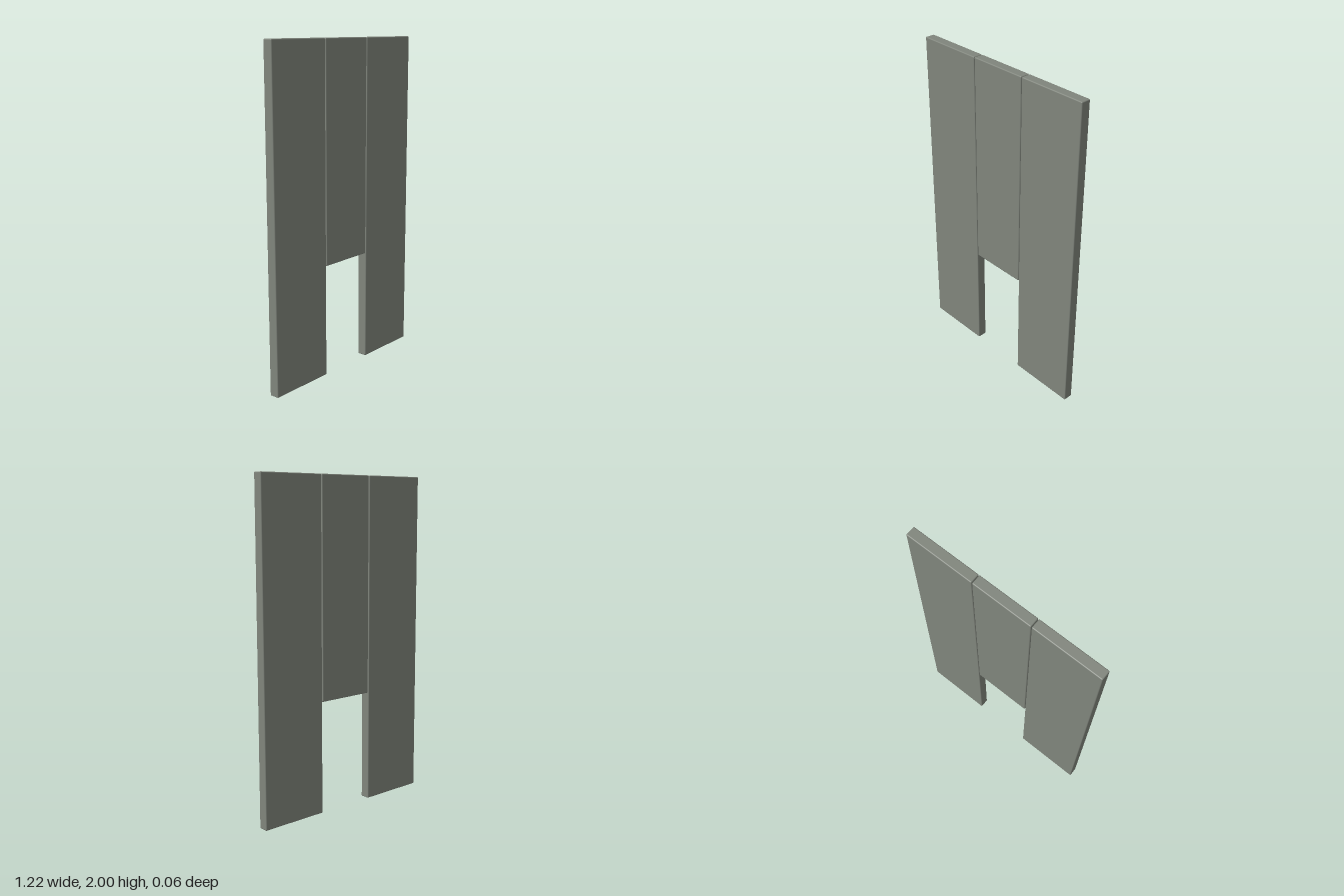
import * as THREE from 'three';
import { RoundedBoxGeometry } from 'three/addons/geometries/RoundedBoxGeometry.js';

const THICKNESS = 0.06;
const EDGE = 0.006;

export function createModel() {
  const model = new THREE.Group();
  model.name = 'panelSet';
  const material = new THREE.MeshStandardMaterial({ color: 0x80857c });

  // One flat slab with slightly eased edges, given by its extents
  function addPanel(name, x0, x1, y0, y1) {
    const geometry = new RoundedBoxGeometry(x1 - x0, y1 - y0, THICKNESS, 2, EDGE);
    const panel = new THREE.Mesh(geometry, material);
    panel.name = name;
    panel.position.set((x0 + x1) / 2, (y0 + y1) / 2, 0);
    model.add(panel);
  }

  // Two full-height side panels and a shorter one hung between them
  addPanel('leftPanel', 0.188, 0.612, 0, 2);
  addPanel('rightPanel', -0.612, -0.188, 0, 2);
  addPanel('centrePanel', -0.184, 0.184, 0.682, 2);

  return model;
}
